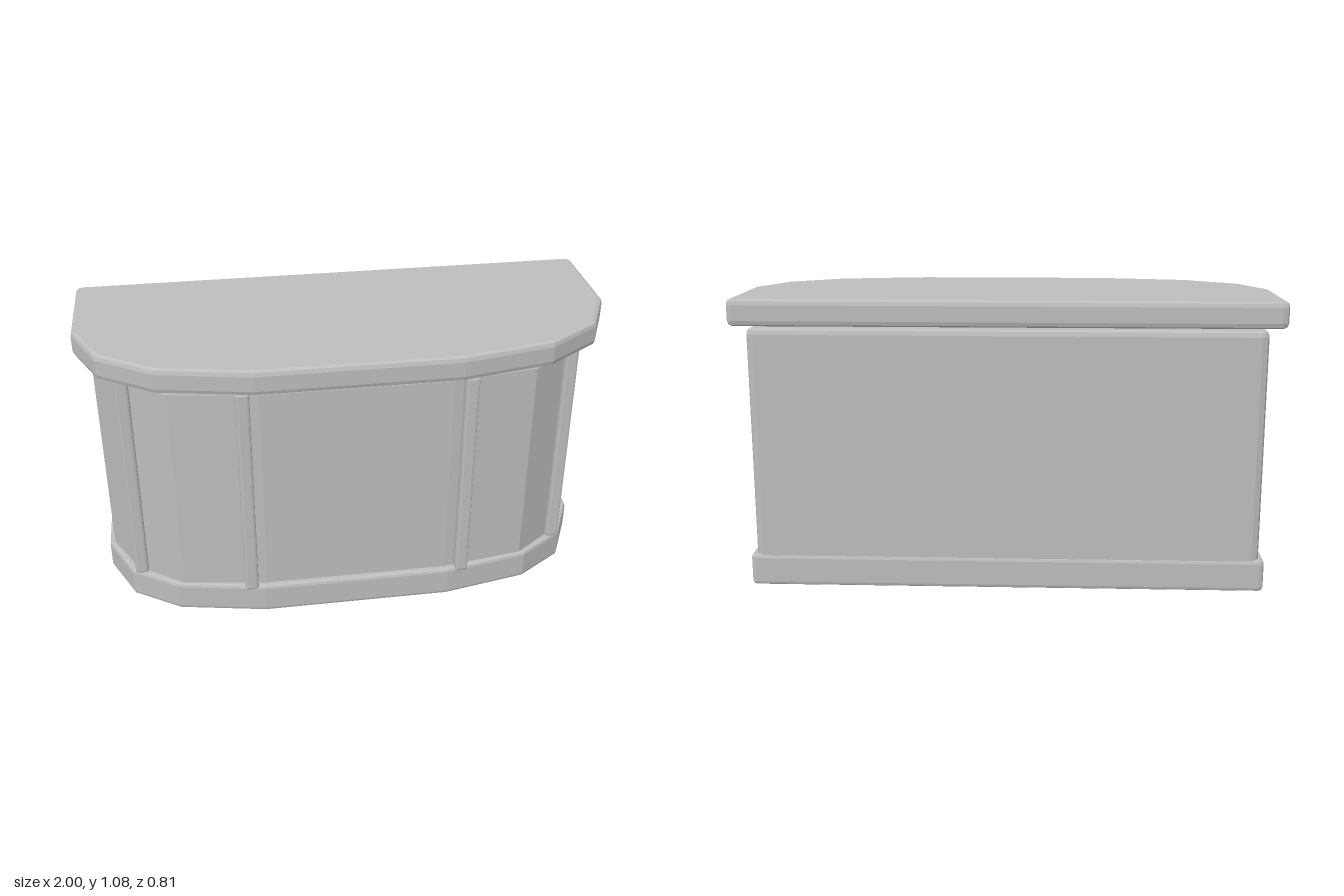
import * as THREE from 'three';
import { RoundedBoxGeometry } from 'three/addons/geometries/RoundedBoxGeometry.js';

const grey = new THREE.MeshStandardMaterial({ color: 0xbcbcbc, flatShading: true });
grey.name = 'plain grey';

// Bow-fronted outline: half of the front facets, mirrored, plus softened back corners.
// Points run from the side to the front as [x, z]; shape y is -z.
function bowShape(half, back, round) {
  const side = half[0][0];
  const pts = [];
  const corner = [];
  for (let i = 0; i <= 2; i++) {
    const a = (i / 2) * Math.PI / 2;
    corner.push([side - round + round * Math.cos(a), back + round - round * Math.sin(a)]);
  }
  const right = [...corner.slice().reverse(), ...half];
  for (const [x, z] of right) pts.push(new THREE.Vector2(x, -z));
  for (const [x, z] of right.slice().reverse()) pts.push(new THREE.Vector2(-x, -z));
  return new THREE.Shape(pts.reverse());
}

// Upright slab with softened top and bottom edges
function slab(name, half, back, y0, y1, bevel) {
  const geo = new THREE.ExtrudeGeometry(bowShape(half, back, bevel * 1.3), {
    depth: y1 - y0 - 2 * bevel,
    bevelEnabled: true,
    bevelThickness: bevel,
    bevelSize: bevel * 0.8,
    bevelOffset: -bevel * 0.8,
    bevelSegments: 2,
  });
  geo.rotateX(-Math.PI / 2);
  geo.translate(0, y0 + bevel, 0);
  const mesh = new THREE.Mesh(geo, grey);
  mesh.name = name;
  return mesh;
}

export function createModel() {
  const model = new THREE.Group();
  model.name = 'counter';

  // Plinth, cabinet and overhanging top
  model.add(slab('base', [[0.96, -0.015], [0.868, 0.18], [0.69, 0.297], [0.36, 0.36]], -0.38, 0, 0.12, 0.014));
  model.add(slab('body', [[0.94, -0.02], [0.845, 0.162], [0.67, 0.288], [0.35, 0.335]], -0.375, 0.06, 0.976, 0.022));
  model.add(slab('countertop', [[1, 0], [0.91, 0.2], [0.71, 0.335], [0.37, 0.403]], -0.403, 0.987, 1.084, 0.02));

  // Vertical trim strips on the bowed front
  for (const s of [-1, 1]) {
    for (const [name, x, z] of [['innerTrim', 0.41, 0.355], ['outerTrim', 0.828, 0.19]]) {
      const trim = new THREE.Mesh(new RoundedBoxGeometry(0.05, 0.863, 0.05, 1, 0.01), grey);
      trim.name = name + (s > 0 ? 'Left' : 'Right');
      trim.position.set(s * x, 0.556, z);
      model.add(trim);
    }
  }
  return model;
}
